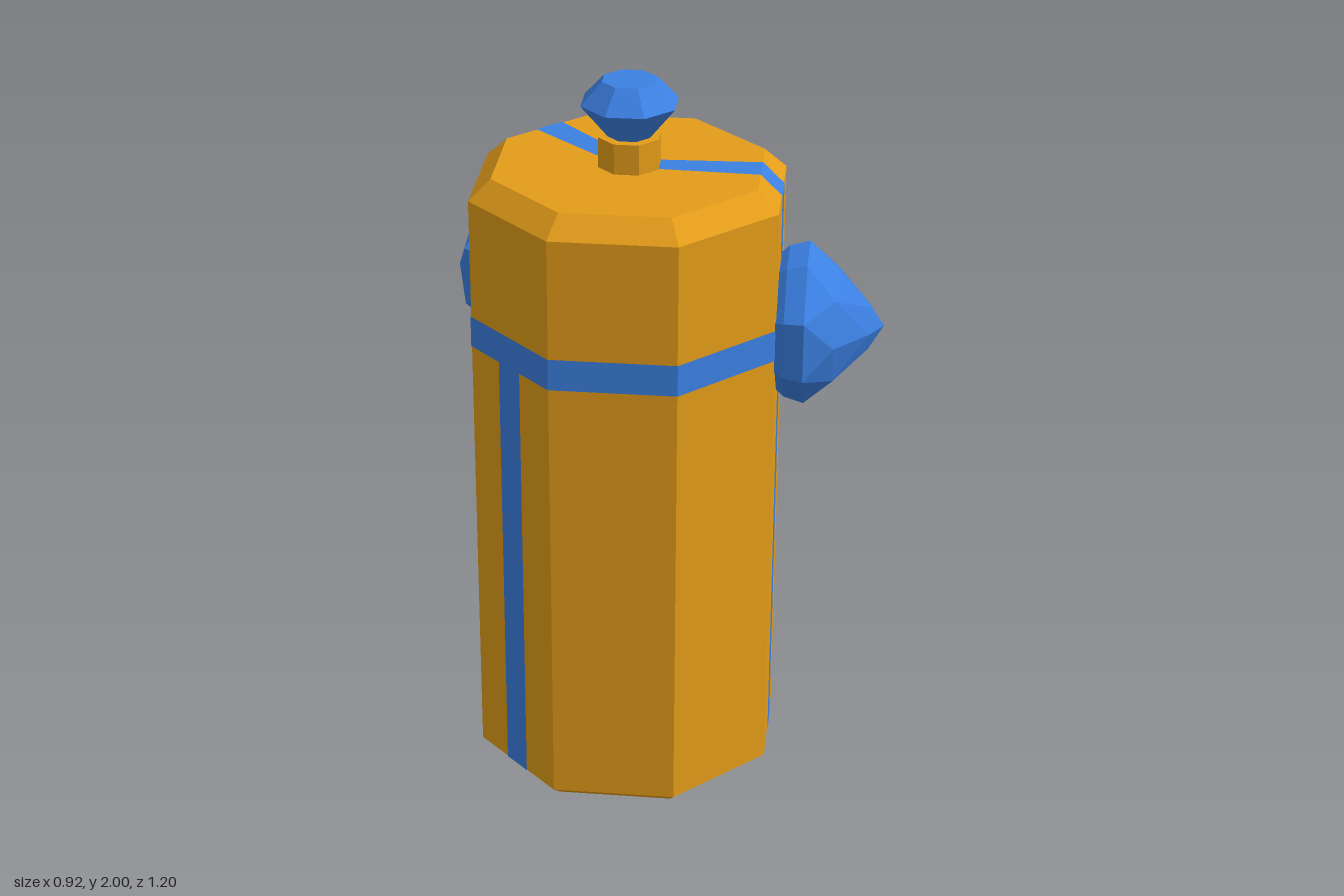
import * as THREE from 'three';
import { ConvexGeometry } from 'three/addons/geometries/ConvexGeometry.js';

const gold = new THREE.MeshStandardMaterial({ color: 0xe39c19, flatShading: true });
const blue = new THREE.MeshStandardMaterial({ color: 0x3b80e2, flatShading: true });
const E = 0.002; // how far the painted bands sit above the body

function add(parent, name, geometry, material) {
  const mesh = new THREE.Mesh(geometry, material);
  mesh.name = name;
  parent.add(mesh);
  return mesh;
}

// Eight-sided turned solid; each profile point is [flat-to-centre distance, height]
function octagon(profile) {
  const k = 1 / Math.cos(Math.PI / 8);
  const points = profile.map(([r, y]) => new THREE.Vector2(r * k, y));
  return new THREE.LatheGeometry(points, 8, Math.PI / 8);
}

// Ribbon running over the body along +z; each path point is [z, y, width]
function ribbon(path) {
  const pos = [], index = [];
  path.forEach(([z, y, w], i) => {
    pos.push(-w / 2, y, z, w / 2, y, z);
    const a = 2 * i;
    if (i < path.length - 1) index.push(a, a + 1, a + 3, a, a + 3, a + 2);
  });
  const g = new THREE.BufferGeometry();
  g.setAttribute('position', new THREE.Float32BufferAttribute(pos, 3));
  g.setIndex(index);
  g.computeVertexNormals();
  return g;
}

// Faceted jewel pointing along +z: octagonal rings [radius, z, turn, sides]
function gem() {
  const rings = [
    [0.185, 0.405, 0.5, 8], [0.205, 0.428, 0.5, 8], [0.22, 0.482, 0.5, 8],
    [0.165, 0.56, 0, 8], [0.065, 0.65, 0.5, 5],
  ];
  const pts = [new THREE.Vector3(0, 0, 0.69)];
  for (const [r, z, turn, n] of rings) {
    for (let i = 0; i < n; i++) {
      const a = ((i + turn) / n) * Math.PI * 2;
      pts.push(new THREE.Vector3(Math.cos(a) * r, Math.sin(a) * r, z));
    }
  }
  return new ConvexGeometry(pts);
}

export function createModel() {
  const model = new THREE.Group();
  model.name = 'jeweledBottle';
  model.position.set(-0.05, 0, 0.09);

  // Bottle with chamfered ends
  add(model, 'body', octagon([
    [0, E], [0.375, E], [0.407, 0.03], [0.407, 1.707], [0.35, 1.763], [0, 1.763],
  ]), gold);
  add(model, 'neck', octagon([[0.08, 1.76], [0.08, 1.847], [0, 1.847]]), gold);
  add(model, 'stopper', octagon([
    [0, 1.846], [0.055, 1.846], [0.124, 1.938], [0.07, 2], [0, 2],
  ]), blue);

  // Band around the body
  add(model, 'horizontalBand', octagon([[0.407 + E, 1.287], [0.407 + E, 1.375]]), blue);

  // Ribbons: two full-height ones with jewels, one stopping at the band
  const lower = [[0, 0, 0.065], [0.375, 0, 0.09], [0.407 + E, 0.03, 0.09]];
  const upper = [[0.407 + E, 1.708, 0.09], [0.351, 1.763 + E, 0.088], [0.03, 1.763 + E, 0.062]];
  const sides = [
    ['frontLeft', Math.PI / 4, true],
    ['back', Math.PI, true],
    ['right', -Math.PI / 2, false],
  ];
  for (const [name, angle, jeweled] of sides) {
    const end = jeweled ? upper : [[0.407 + E, 1.3, 0.09]];
    add(model, name + 'Ribbon', ribbon([...lower, ...end]), blue).rotation.y = angle;
    if (jeweled) {
      const jewel = add(model, name + 'Jewel', gem(), blue);
      jewel.rotation.y = angle;
      jewel.position.y = 1.325;
    }
  }
  return model;
}
